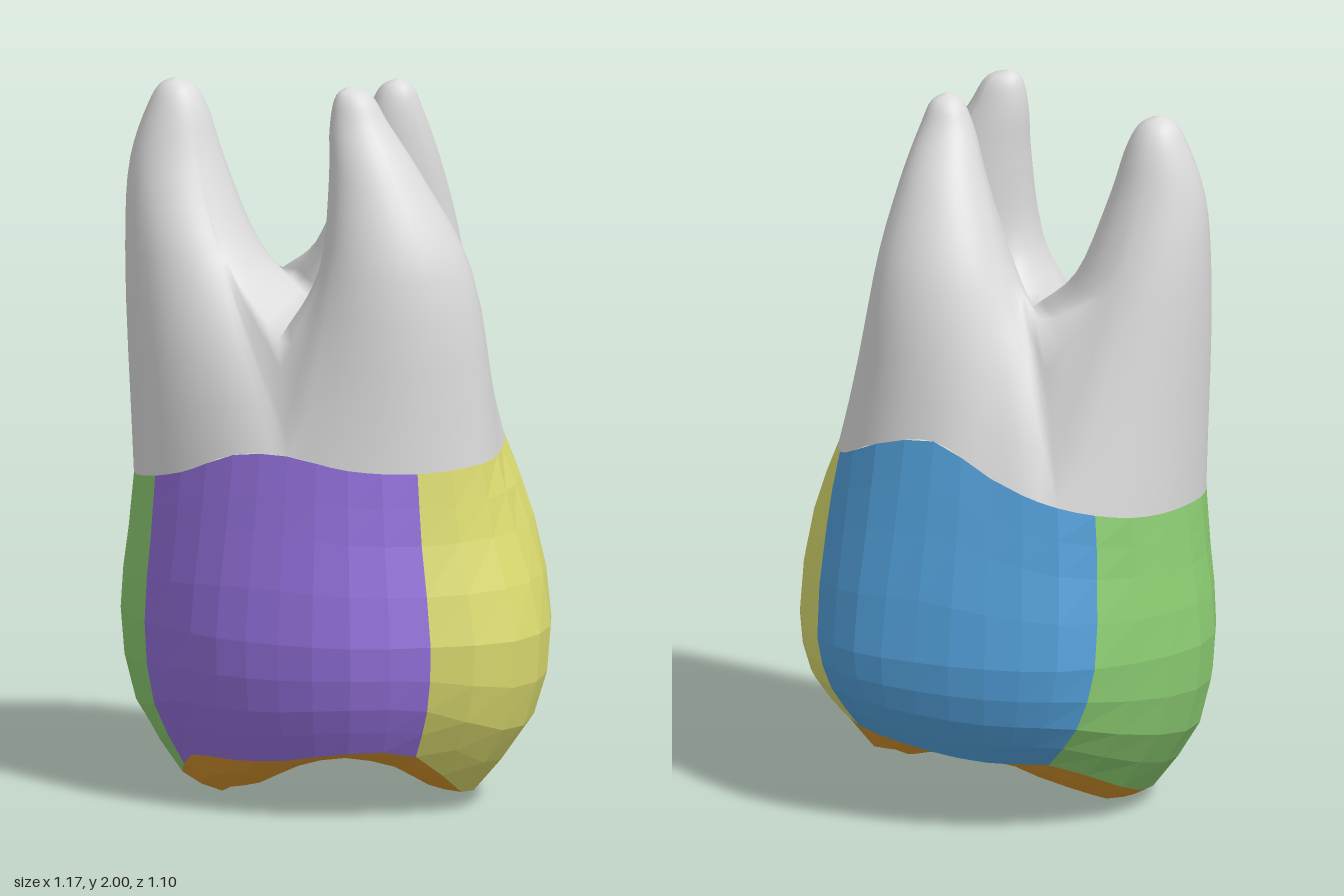
import * as THREE from 'three';
import { mergeGeometries, mergeVertices } from 'three/addons/utils/BufferGeometryUtils.js';

const COLS = 32; // columns around the crown, starting at +x and turning towards +z
const V = (x, y, z) => new THREE.Vector3(x, y, z);
const paint = (name, color) => {
  const m = new THREE.MeshStandardMaterial({ color });
  m.name = name;
  return m;
};

// Sixteen measurements around the tooth, one every 22.5 degrees
const BELLY_R = [.575, .62, .652, .58, .545, .505, .50, .515, .572, .605, .592, .582, .545, .535, .565, .57];
const SHOULDER = [.65, .55, .32, .32, .38, .42, .42, .42, .42, .42, .42, .42, .42, .42, .45, .55];
const NECK_R = [.46, .48, .53, .50, .455, .42, .43, .475, .545, .555, .545, .49, .425, .42, .455, .475];
const NECK_Y = [1.0, .99, .98, .97, .98, 1.01, 1.0, .93, .89, .89, .9, .94, 1.01, 1.1, 1.07, 1.0];
const RIM_R = [.44, .42, .455, .49, .475, .44, .43, .44, .42, .42, .45, .47, .46, .46, .49, .47];
const RIM_Y = [.2, .065, .055, .18, .195, .165, .15, .14, .06, .06, .12, .2, .21, .23, .26, .26];
const CUSP_Y = [.16, .07, .06, .13, .16, .13, .07, .04, .005, .02, .07, .13, .19, .2, .17, .18];

// Smooth periodic lookup by column
function around(table, col) {
  const n = table.length;
  const f = ((col * n / COLS) % n + n) % n;
  const i = Math.floor(f), t = f - i;
  const [a, b, c, d] = [-1, 0, 1, 2].map(k => table[(i + k + n) % n]);
  return b + .5 * t * (c - a + t * (2 * a - 5 * b + 4 * c - d + t * (3 * (b - c) + d - a)));
}

function polar(col, r, y) {
  const a = col * Math.PI * 2 / COLS;
  return V(r * Math.cos(a), y, r * Math.sin(a));
}

// Slants the two seams of the back panel
function slant(col, t) {
  const near = seam => {
    const d = ((col - seam + 48) % COLS + COLS) % COLS - 16;
    return Math.exp(-d * d / 4);
  };
  return col + near(30) * (.2 - 1.7 * (1 - t)) + near(21) * 1.2 * (1 - t) ** 2;
}

// Crown wall, t = 0 at the chewing rim to 1 at the neck
function wallPoint(col, t) {
  const c = slant(col, t);
  const [rim, belly, shoulder, neck, y0, y1] =
    [RIM_R, BELLY_R, SHOULDER, NECK_R, RIM_Y, NECK_Y].map(k => around(k, c));
  const mix = THREE.MathUtils.lerp;
  return new THREE.CatmullRomCurve3([
    polar(c, rim, y0),
    polar(c, mix(rim, belly, .76), mix(y0, .5, .43)),
    polar(c, belly, .5),
    polar(c, mix(neck, belly, shoulder), mix(.5, y1, .58)),
    polar(c, neck, y1)
  ]).getPoint(t);
}

// Chewing surface, t = 0 at the central pit to 1 at the rim
function bitePoint(col, t) {
  const c = slant(col, 0), rim = around(RIM_R, c);
  return new THREE.CatmullRomCurve3([
    V(0, .26, 0),
    polar(c, rim * .36, .5 * (.21 + around(CUSP_Y, c))),
    polar(c, rim * .74, around(CUSP_Y, c)),
    polar(c, rim, around(RIM_Y, c))
  ]).getPoint(t);
}

// Surface from rows running outward or upward and columns running around
function loft(rows, cols, point, { closed = false, flat = false } = {}) {
  const pos = [], index = [], w = closed ? cols : cols + 1;
  for (let i = 0; i <= rows; i++)
    for (let j = 0; j < w; j++) pos.push(...point(i, j).toArray());
  for (let i = 0; i < rows; i++)
    for (let j = 0; j < cols; j++) {
      const k = (j + 1) % w;
      const a = i * w + j, b = a + w, c = i * w + k, d = c + w;
      index.push(a, b, c, b, d, c);
    }
  let g = new THREE.BufferGeometry();
  g.setAttribute('position', new THREE.Float32BufferAttribute(pos, 3));
  g.setIndex(index);
  if (flat) {
    g = g.toNonIndexed();
    g.computeVertexNormals();
  }
  return g;
}

// Valleys between the roots meet at the fork
const FORK = V(-.06, 1.37, .025);
const SADDLE = { 0: V(.36, 1.27, .04), 10: V(-.175, 1.31, .26), 22: V(-.125, 1.41, -.27) };

// Root: a wedge of the neck drawn up through ellipses [y, x, z, rx, rz] to a tip
function rootGeometry(from, to, rings, tip) {
  const base = [];
  const neck = c => wallPoint(c, 1);
  const path = (p, q, n) => {
    for (let k = 0; k < n; k++) base.push(p.clone().lerp(q, k / n));
  };
  for (let c = from; c < to; c += .5) base.push(neck(c));
  const endSaddle = SADDLE[to % COLS], startSaddle = SADDLE[from];
  path(neck(to), endSaddle, 4);
  path(endSaddle, FORK, 4);
  path(FORK, startSaddle, 4);
  path(startSaddle, neck(from), 4);

  const mid = base.reduce((s, p) => s.add(p), V(0, 0, 0)).divideScalar(base.length);
  const [, lx, lz, lrx, lrz] = rings[rings.length - 1];
  const cap = [tip.y - .022, (lx + tip.x) / 2, (lz + tip.z) / 2, lrx * .58, lrz * .58];
  const curves = base.map(p => {
    const a = Math.atan2(p.z - mid.z, p.x - mid.x);
    const pts = [...rings, cap].map(([y, x, z, rx, rz]) =>
      V(x + rx * Math.cos(a), y, z + rz * Math.sin(a)));
    return new THREE.CatmullRomCurve3([p, ...pts, tip]);
  });
  const rows = 20;
  return loft(rows, base.length, (i, j) => curves[j].getPoint(i / rows), { closed: true });
}

export function createModel() {
  const tooth = new THREE.Group();
  tooth.name = 'molarTooth';
  const add = (name, geometry, material) => {
    const mesh = new THREE.Mesh(geometry, material);
    mesh.name = name;
    tooth.add(mesh);
  };

  // Crown panels by column range
  const panels = [
    ['rightPanel', -2, 6, paint('yellow', 0xdbdb70)],
    ['frontPanel', 6, 15, paint('purple', 0x9370db)],
    ['leftPanel', 15, 21, paint('green', 0x8ccd72)],
    ['backPanel', 21, 30, paint('blue', 0x529fd9)]
  ];
  const wallRows = 8;
  for (const [name, from, to, material] of panels)
    add(name, loft(wallRows, to - from, (i, j) => wallPoint(from + j, i / wallRows), { flat: true }), material);

  // Chewing surface
  add('chewingSurface', loft(6, COLS, (i, j) => bitePoint(j, i / 6), { flat: true }), paint('orange', 0xdb972f));

  // Front, side and back roots, welded so the valleys blend smoothly
  const roots = mergeVertices(mergeGeometries([
    rootGeometry(0, 10, [
      [1.5, .145, .262, .21, .178], [1.75, .095, .23, .13, .122], [1.9, .05, .2, .08, .074]
    ], V(.02, 2, .185)),
    rootGeometry(10, 22, [
      [1.5, -.38, -.1, .19, .205], [1.75, -.425, -.12, .13, .12], [1.9, -.425, -.125, .08, .075]
    ], V(-.43, 1.975, -.125)),
    rootGeometry(22, 32, [
      [1.5, .155, -.135, .2, .18], [1.75, .17, -.07, .122, .125], [1.9, .167, -.02, .072, .07]
    ], V(.17, 1.985, 0))
  ]));
  roots.computeVertexNormals();
  add('roots', roots, paint('rootWhite', 0xdcdcdc));

  return tooth;
}
